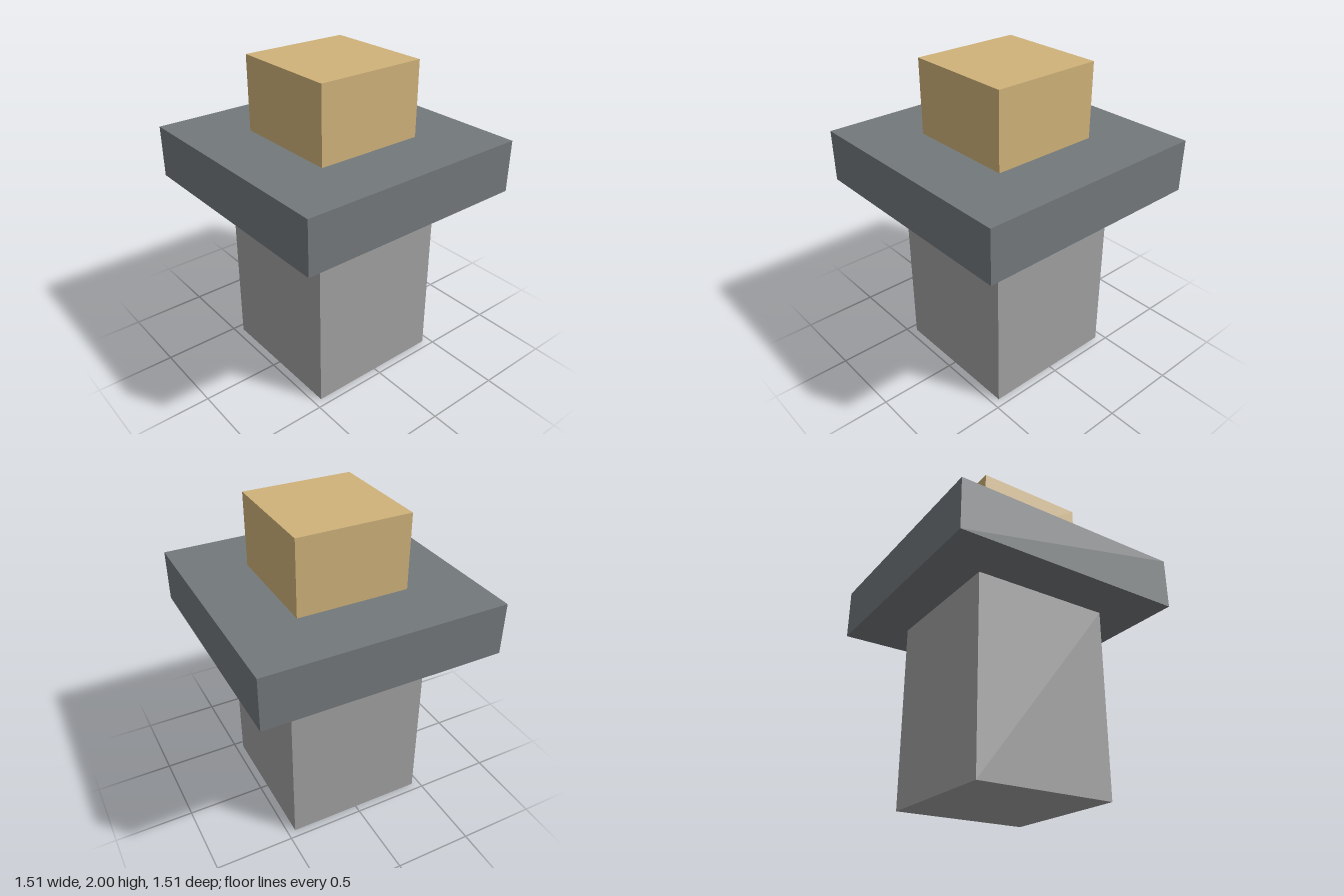
import * as THREE from 'three';

export function createModel() {
  const model = new THREE.Group();
  model.name = 'pedestal';

  // Square block between two heights
  const addBlock = (name, width, bottom, top, color) => {
    const mesh = new THREE.Mesh(
      new THREE.BoxGeometry(width, top - bottom, width),
      new THREE.MeshStandardMaterial({ color })
    );
    mesh.name = name;
    mesh.position.y = (bottom + top) / 2;
    model.add(mesh);
  };

  addBlock('column', 0.9, 0, 1.2, 0xa0a0a0); // tall shaft
  addBlock('slab', 1.51, 1.2, 1.53, 0x73787b); // wide overhanging plate
  addBlock('topBlock', 0.705, 1.53, 2, 0xcfb27a); // sand-coloured block

  return model;
}
